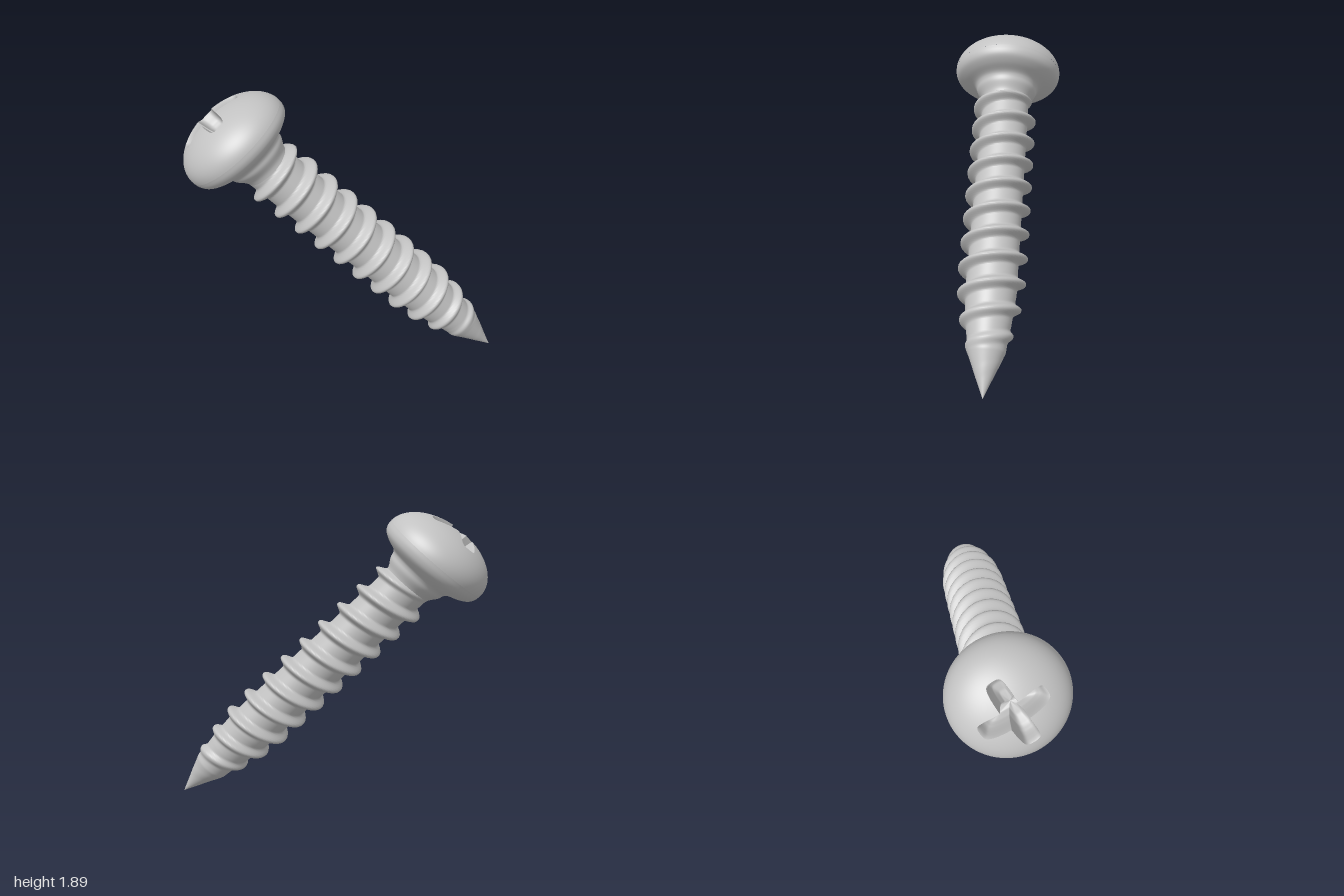
import * as THREE from 'three';

const TAU = Math.PI * 2;
const PITCH = 0.171;   // thread pitch
const RIM = 0.36;      // head radius
const RIM_Y = 2.325;   // height of the head's widest ring above the tip
const SKEW = 0.105;    // every ring leans a little off the axis

// Linear interpolation through [position, value] pairs
function ramp(points, s) {
  for (let i = 1; i < points.length; i++) {
    const [a, va] = points[i - 1], [b, vb] = points[i];
    if (s <= b) return va + (vb - va) * (s - a) / (b - a);
  }
  return points[points.length - 1][1];
}

// Closed surface around the y axis; fn(k, t) returns [radius, height]
function aroundAxis(rows, segs, fn) {
  const pos = [], index = [];
  for (let i = 0; i <= rows; i++) {
    for (let j = 0; j < segs; j++) {
      const t = j / segs * TAU;
      const [r, y] = fn(i / rows, t);
      const x = r * Math.sin(t);
      pos.push(x, y - SKEW * x, r * Math.cos(t));
    }
  }
  for (let i = 0; i < rows; i++) {
    for (let j = 0; j < segs; j++) {
      const j2 = (j + 1) % segs;
      const a = i * segs + j, b = i * segs + j2;
      index.push(a, b, a + segs, b, b + segs, a + segs);
    }
  }
  const g = new THREE.BufferGeometry();
  g.setAttribute('position', new THREE.Float32BufferAttribute(pos, 3));
  g.setIndex(index);
  g.computeVertexNormals();
  return g;
}

// Shank: a core with a right-handed helical ridge, ending in a plain cone
const core = [[0, 0], [0.28, 0.115], [0.36, 0.122], [0.45, 0.137], [0.65, 0.157], [2.1, 0.157]];
const crest = [[0, 0], [0.28, 0.117], [0.34, 0.142], [0.46, 0.175], [0.6, 0.2],
  [0.75, 0.213], [2.04, 0.213], [2.1, 0.157]];

function shankPoint(k, t) {
  const s = k * 2.1;
  const phase = (s - 0.462) / PITCH - t / TAU;
  const d = Math.abs(phase - Math.round(phase));
  const ridge = 1 - THREE.MathUtils.smoothstep(d, 0.03, 0.27);
  const inner = ramp(core, s);
  return [inner + (ramp(crest, s) - inner) * ridge, s];
}

// Head dome height and the softened outline of the cross-shaped recess
const dome = (r) => RIM_Y + 0.228 * Math.sqrt(Math.max(0, 1 - (r / RIM) ** 2));

function crossRadius(t) {
  const quarter = Math.PI / 2;
  const q = (t - THREE.MathUtils.degToRad(25)) / quarter;
  const phi = Math.abs(q - Math.round(q)) * quarter;
  const side = 0.058 / Math.max(Math.sin(phi), 0.01);
  return (0.215 ** -6 + side ** -6) ** (-1 / 6);
}

export function createModel() {
  const steel = new THREE.MeshStandardMaterial({ color: 0xc2c2c2 });
  steel.name = 'steel grey';
  const screw = new THREE.Group();
  screw.name = 'screw';
  const add = (name, geometry) => {
    const mesh = new THREE.Mesh(geometry, steel);
    mesh.name = name;
    screw.add(mesh);
  };

  add('threadedShank', aroundAxis(280, 64, shankPoint));

  // Short neck and the nearly flat underside of the head
  const under = new THREE.SplineCurve([
    [0.155, 2.05], [0.164, 2.095], [0.196, 2.145], [0.208, 2.18], [0.23, 2.203],
    [0.29, 2.227], [0.335, 2.256], [0.355, 2.29], [RIM, RIM_Y],
  ].map(([r, y]) => new THREE.Vector2(r, y)));
  add('neckAndUnderside', aroundAxis(36, 96, (k) => {
    const p = under.getPoint(k);
    return [p.x, p.y];
  }));

  // Dome, running from the rim inwards to the edge of the recess
  add('headDome', aroundAxis(24, 192, (k, t) => {
    const edge = crossRadius(t);
    const r = edge + (RIM - edge) * Math.cos(k * Math.PI / 2);
    return [r, dome(r)];
  }));

  // Recess with tapering walls and a shallow sloping floor
  const depth = [[0, 0], [0.06, 0.015], [0.16, 0.075], [0.3, 0.115], [0.6, 0.15], [1, 0.165]];
  add('crossRecess', aroundAxis(24, 192, (k, t) => {
    const r = crossRadius(t) * (1 - k);
    return [r, dome(r) - ramp(depth, k)];
  }));

  // Lean the screw over with its tip on the ground
  screw.rotation.z = THREE.MathUtils.degToRad(46.2);
  screw.position.set(1, 0, 0);
  const model = new THREE.Group();
  model.name = 'leaningScrew';
  model.add(screw);
  return model;
}
